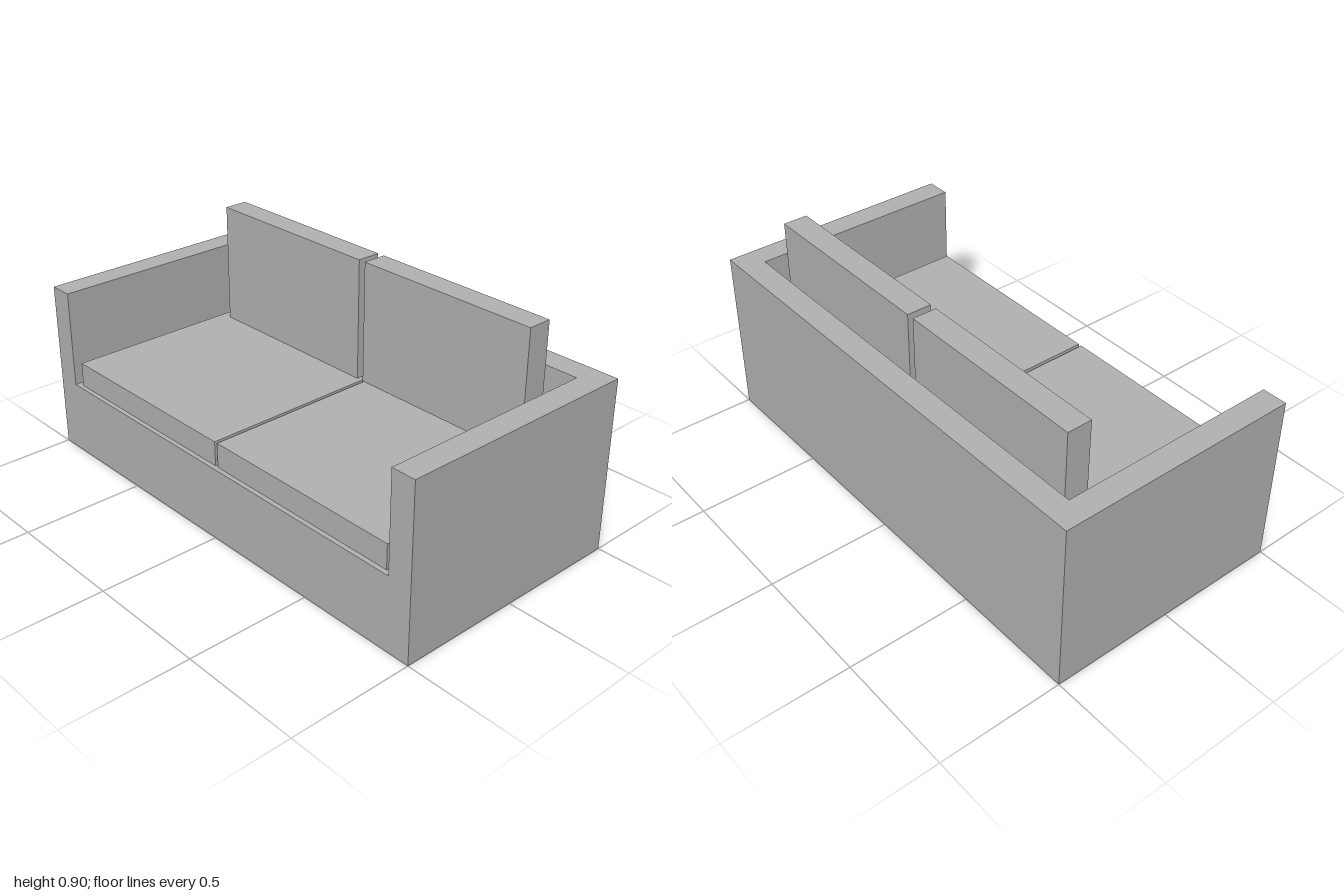
import * as THREE from 'three';

const upholstery = new THREE.MeshStandardMaterial({ color: 0xb2b2b2 });
upholstery.name = 'grey upholstery';

// Box given by its centre in x and z, and by its underside in y
function block(name, [w, h, d], [x, bottom, z]) {
  const mesh = new THREE.Mesh(new THREE.BoxGeometry(w, h, d), upholstery);
  mesh.name = name;
  mesh.position.set(x, bottom + h / 2, z);
  return mesh;
}

export function createModel() {
  const sofa = new THREE.Group();
  sofa.name = 'sofa';

  // Solid base under the seat
  sofa.add(block('base', [2, 0.3, 1], [0, 0, 0]));

  // Arms and back wall: one U-shaped outline, open to the front
  const outline = new THREE.Shape([
    [-1, -0.5], [-0.9, -0.5], [-0.9, 0.4], [0.9, 0.4],
    [0.9, -0.5], [1, -0.5], [1, 0.5], [-1, 0.5],
  ].map(([x, y]) => new THREE.Vector2(x, y)));
  const wallGeometry = new THREE.ExtrudeGeometry(outline, { depth: 0.4, bevelEnabled: false });
  wallGeometry.rotateX(-Math.PI / 2);
  const walls = new THREE.Mesh(wallGeometry, upholstery);
  walls.name = 'armsAndBack';
  walls.position.y = 0.3;
  sofa.add(walls);

  // Seat and back cushions; the back pair sits slightly off centre
  for (const [side, s] of [['right', -1], ['left', 1]]) {
    sofa.add(block(side + 'SeatCushion', [0.866, 0.1, 0.866], [s * 0.44, 0.3, 0.048]));
    sofa.add(block(side + 'BackCushion', [0.8, 0.5, 0.1], [s * 0.415 - 0.015, 0.4, -0.302]));
  }

  return sofa;
}
